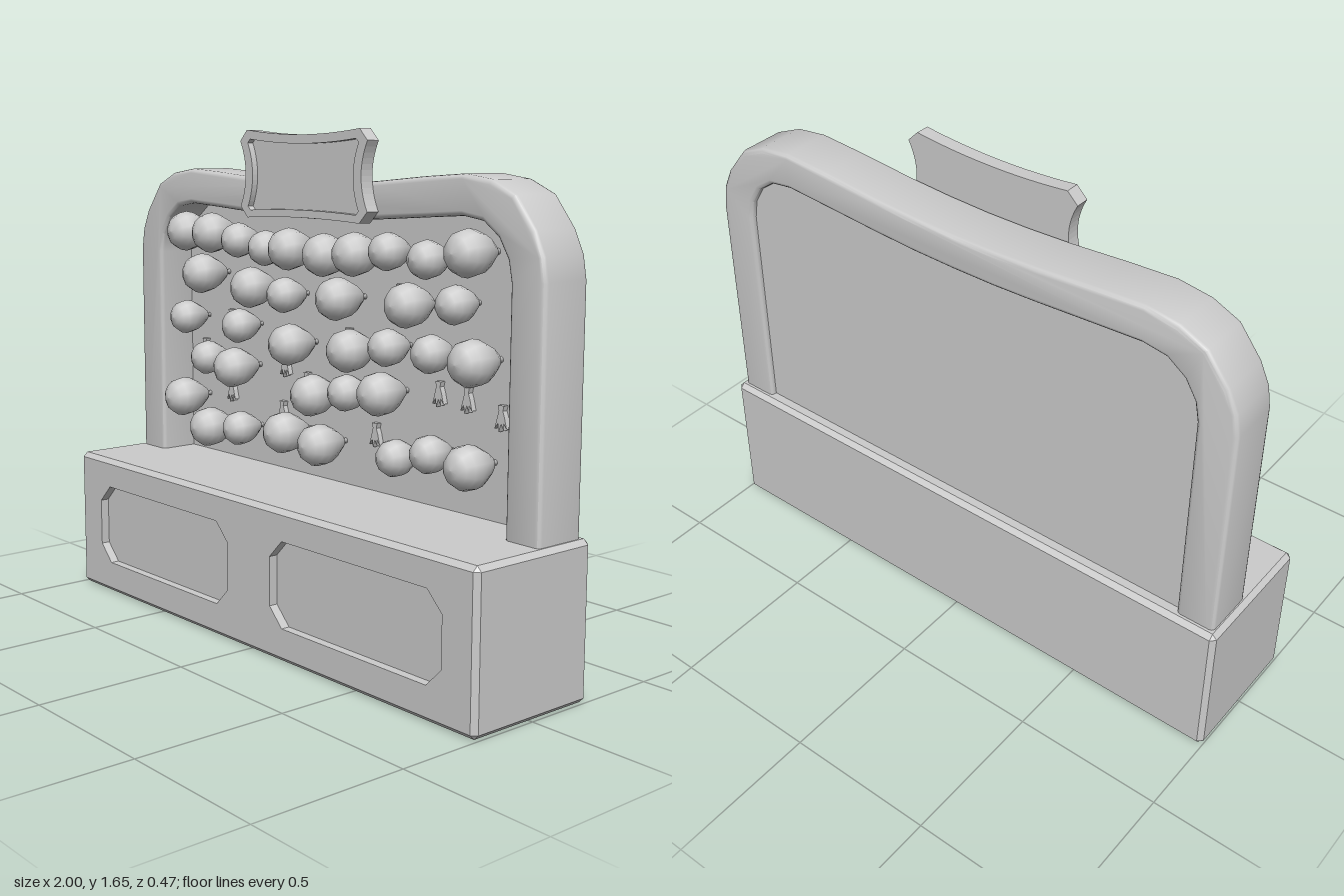
import * as THREE from 'three';
import { toCreasedNormals } from 'three/addons/utils/BufferGeometryUtils.js';

const grey = new THREE.MeshStandardMaterial({ color: 0xcccccc });

function add(parent, name, geometry) {
  const mesh = new THREE.Mesh(geometry, grey);
  mesh.name = name;
  parent.add(mesh);
  return mesh;
}

const vecs = (pts) => pts.map(([x, y]) => new THREE.Vector2(x, y));
const shapeOf = (pts) => new THREE.Shape(vecs(pts));

// Right half of an outline, bottom to centre, completed by its mirror image
const mirrored = (half) => [
  ...half,
  ...half.filter(([x]) => x !== 0).reverse().map(([x, y]) => [-x, y]),
];

// Rectangle with cut corners, counterclockwise
const cutRect = (cx, cy, hx, hy, c) => [
  [hx, c - hy], [hx, hy - c], [hx - c, hy], [c - hx, hy],
  [-hx, hy - c], [-hx, c - hy], [c - hx, -hy], [hx - c, -hy],
].map(([x, y]) => [cx + x, cy + y]);

// Plain slab between two z values
function slab(shape, z0, z1) {
  const g = new THREE.ExtrudeGeometry(shape, { depth: z1 - z0, bevelEnabled: false });
  return g.translate(0, 0, z0);
}

// Side walls joining rings of equal point count, back to front
function loft(rings) {
  const pos = [], index = [], n = rings[0].pts.length;
  for (const { pts, z } of rings) for (const [x, y] of pts) pos.push(x, y, z);
  for (let r = 0; r < rings.length - 1; r++) {
    for (let i = 0; i < n; i++) {
      const a = r * n + i, b = r * n + (i + 1) % n;
      index.push(a, b, b + n, a, b + n, a + n);
    }
  }
  const g = new THREE.BufferGeometry();
  g.setAttribute('position', new THREE.Float32BufferAttribute(pos, 3));
  g.setIndex(index);
  const flat = g.toNonIndexed();
  flat.computeVertexNormals();
  return flat;
}

// Counter: chamfered box with two sunken front panels
function makeCounter() {
  const counter = new THREE.Group();
  counter.name = 'counter';
  const hx = 1, hy = 0.245, hz = 0.235, b = 0.016;
  const full = cutRect(0, hy, hx, hy, b);
  const inset = cutRect(0, hy, hx - b, hy - b, 0);
  add(counter, 'counterSides', loft([
    { pts: inset, z: -hz }, { pts: full, z: b - hz },
    { pts: full, z: hz - b }, { pts: inset, z: hz },
  ]));
  const face = [[hx - b, b], [hx - b, 2 * hy - b], [b - hx, 2 * hy - b], [b - hx, b]];
  const front = shapeOf(face);
  for (const s of [-1, 1]) {
    front.holes.push(new THREE.Path(vecs(cutRect(s * 0.49, 0.25, 0.38, 0.14, 0.06))));
  }
  add(counter, 'counterFront', slab(front, 0.19, hz));
  add(counter, 'sunkenPanels', slab(shapeOf(face), 0.18, 0.205));
  add(counter, 'counterBack', slab(shapeOf(face), -hz, -0.2));
  return counter;
}

const outerHalf = [
  [0.98, 0.4], [0.98, 1.23], [0.968, 1.3], [0.935, 1.37], [0.86, 1.465],
  [0.77, 1.505], [0.66, 1.52], [0.5, 1.51], [0.3, 1.493], [0.15, 1.485], [0, 1.482],
];
const innerHalf = [
  [0.85, 0.4], [0.85, 1.22], [0.837, 1.285], [0.8, 1.345], [0.74, 1.388],
  [0.66, 1.4], [0.5, 1.39], [0.3, 1.377], [0.15, 1.37], [0, 1.368],
];

// Arched frame with rounded edges
function makeFrame() {
  const shape = shapeOf([...mirrored(outerHalf), ...mirrored(innerHalf).reverse()]);
  const b = 0.015;
  const g = new THREE.ExtrudeGeometry(shape, {
    depth: 0.18 - 2 * b, bevelThickness: b, bevelSize: b, bevelOffset: -b, bevelSegments: 3,
  });
  return toCreasedNormals(g.translate(0, 0, -0.21 + b), 0.6);
}

// Sign outline: cut corners and gently concave edges
function signOutline(hx, y0, y1, cut, dip) {
  const s = new THREE.Shape();
  const mid = (y0 + y1) / 2;
  s.moveTo(hx, y0 + cut);
  s.quadraticCurveTo(hx - dip * 2, mid, hx, y1 - cut);
  s.lineTo(hx - cut, y1);
  s.quadraticCurveTo(0, y1 - dip * 1.2, cut - hx, y1);
  s.lineTo(-hx, y1 - cut);
  s.quadraticCurveTo(dip * 2 - hx, mid, -hx, y0 + cut);
  s.lineTo(cut - hx, y0);
  s.quadraticCurveTo(0, y0 + dip * 0.6, hx - cut, y0);
  return s;
}

function makeSign() {
  const sign = new THREE.Group();
  sign.name = 'sign';
  const rim = signOutline(0.312, 1.365, 1.65, 0.036, 0.028);
  const opening = signOutline(0.272, 1.39, 1.62, 0.012, 0.025);
  add(sign, 'signPanel', slab(rim, -0.03, -0.005));
  const border = rim.clone();
  border.holes.push(opening);
  add(sign, 'signBorder', slab(border, -0.005, 0.016));
  return sign;
}

// Balloon of unit radius, knot at z = 0, rounded end forward
function makeBalloon() {
  const profile = [
    [0, 0], [0.14, 0], [0.07, 0.14], [0.32, 0.32], [0.68, 0.82], [0.92, 1.3],
    [1, 1.72], [0.93, 2.1], [0.71, 2.43], [0.38, 2.63], [0, 2.7],
  ];
  return new THREE.LatheGeometry(vecs(profile), 10).rotateX(Math.PI / 2);
}

// Burst balloon: small neck with ragged tails
function makeScrap() {
  const pts = [
    [-0.012, 0.038], [-0.008, 0.022], [-0.014, 0], [-0.024, -0.034], [-0.011, -0.016],
    [-0.007, -0.042], [0.002, -0.016], [0.012, -0.036], [0.012, -0.014],
    [0.024, -0.03], [0.015, 0.004], [0.008, 0.022], [0.012, 0.038],
  ];
  return slab(shapeOf(pts.reverse()), 0, 0.018);
}

// x, y, radius of each balloon
const balloons = [
  [-0.71, 1.3, 0.07], [-0.56, 1.3, 0.07], [-0.43, 1.28, 0.06], [-0.28, 1.26, 0.06],
  [-0.135, 1.265, 0.07], [0.04, 1.255, 0.07], [0.185, 1.265, 0.07], [0.32, 1.28, 0.06],
  [0.49, 1.265, 0.06], [0.68, 1.295, 0.072],
  [-0.62, 1.155, 0.07], [-0.34, 1.125, 0.07], [-0.18, 1.11, 0.06], [0.105, 1.12, 0.07],
  [0.425, 1.125, 0.07], [0.61, 1.14, 0.06],
  [-0.74, 0.99, 0.06], [-0.43, 0.985, 0.06], [-0.135, 0.95, 0.07], [0.16, 0.96, 0.07],
  [0.32, 0.985, 0.06], [0.51, 0.985, 0.06], [0.7, 0.98, 0.072],
  [-0.615, 0.855, 0.06], [-0.44, 0.84, 0.07], [-0.02, 0.795, 0.07], [0.13, 0.82, 0.06],
  [0.305, 0.84, 0.07],
  [-0.74, 0.7, 0.07], [-0.585, 0.61, 0.07], [-0.43, 0.625, 0.06], [-0.165, 0.65, 0.07],
  [0.015, 0.635, 0.07], [0.36, 0.645, 0.06], [0.51, 0.68, 0.06], [0.685, 0.67, 0.07],
];
const scraps = [
  [-0.73, 1.13], [-0.46, 1.135], [-0.04, 1.13], [0.28, 1.135], [-0.59, 0.985],
  [0.04, 0.975], [-0.75, 0.865], [-0.285, 0.855], [-0.17, 0.805], [0.46, 0.85],
  [0.58, 0.845], [0.72, 0.81], [-0.59, 0.73], [-0.3, 0.69], [0.175, 0.68],
];

export function createModel() {
  const booth = new THREE.Group();
  booth.name = 'balloonBooth';
  booth.add(makeCounter());
  add(booth, 'archFrame', makeFrame());

  // Board fills the arch, set in a little from the back
  const boardZ = -0.165;
  const boardOutline = mirrored(innerHalf.map(([x, y]) => [x && x + 0.01, y + 0.01]));
  add(booth, 'backBoard', slab(shapeOf(boardOutline), -0.19, boardZ));
  booth.add(makeSign());

  const balloon = makeBalloon();
  for (const [x, y, r] of balloons) {
    const m = add(booth, 'balloon', balloon);
    m.position.set(x, y, boardZ);
    m.scale.setScalar(r);
  }
  const scrap = makeScrap();
  for (const [x, y] of scraps) add(booth, 'burstBalloon', scrap).position.set(x, y, boardZ);
  return booth;
}
